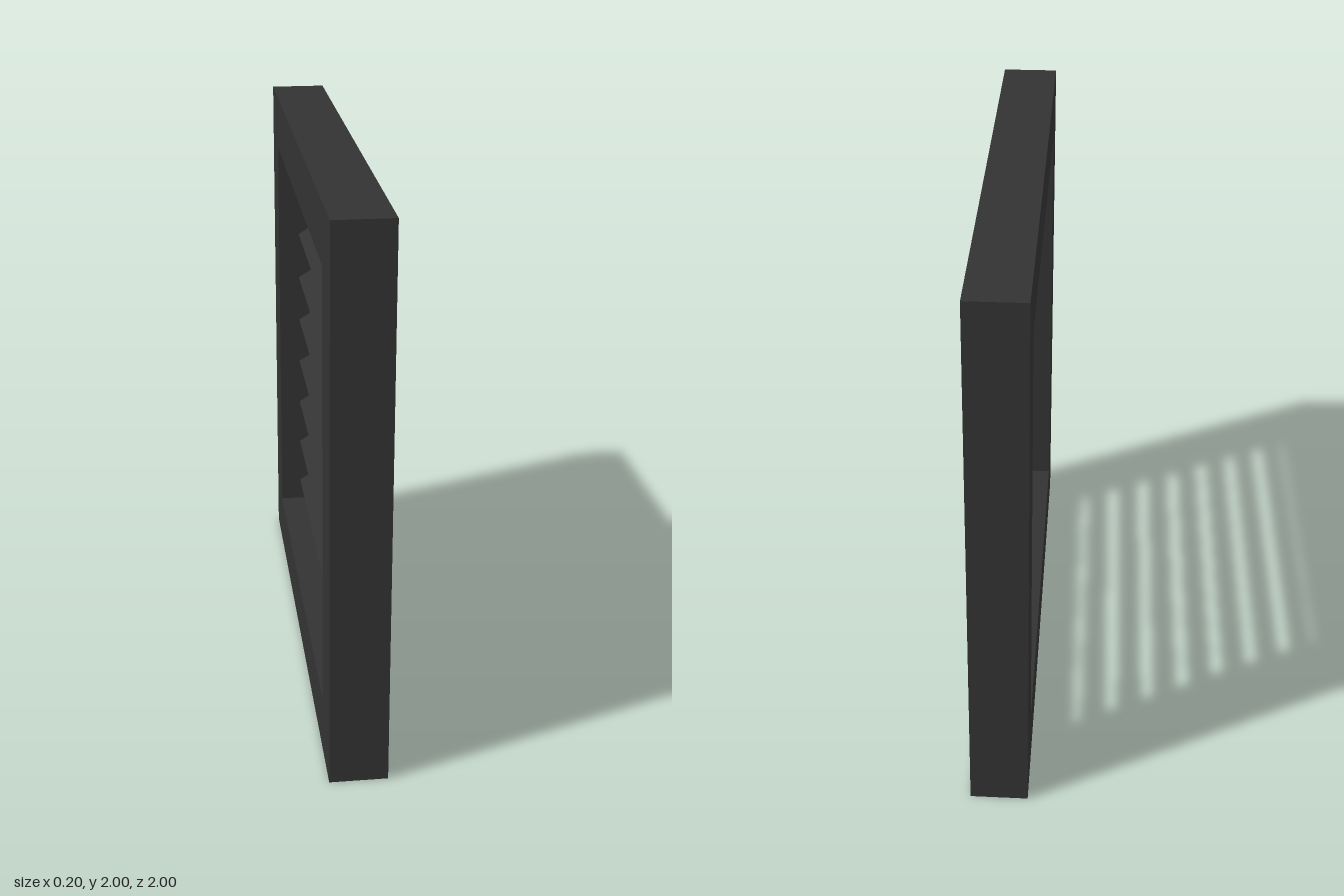
import * as THREE from 'three';

const OUTER = 2, BORDER = 0.205, DEPTH = 0.205;
const SLATS = 9, PITCH = 0.1886, FIRST_Y = 0.313;
const TILT = THREE.MathUtils.degToRad(32);

export function createModel() {
  const group = new THREE.Group();
  group.name = 'louvreVent';
  const material = new THREE.MeshStandardMaterial({ color: 0x333333 });

  // Square frame with a square opening, extruded along x
  const h = OUTER / 2, i = h - BORDER;
  const square = (r) => [[-r, -r], [r, -r], [r, r], [-r, r]].map(([x, y]) => new THREE.Vector2(x, y));
  const shape = new THREE.Shape(square(h));
  shape.holes.push(new THREE.Path(square(i).reverse()));
  const frameGeo = new THREE.ExtrudeGeometry(shape, { depth: DEPTH, bevelEnabled: false });
  frameGeo.translate(0, 0, -DEPTH / 2).rotateY(Math.PI / 2).translate(0, h, 0);
  const frame = new THREE.Mesh(frameGeo, material);
  frame.name = 'frame';
  group.add(frame);

  // Tilted slats, high edge flush with the +x face; the top one is partly sunk in the frame
  const slats = new THREE.Group();
  slats.name = 'slats';
  const slatGeo = new THREE.BoxGeometry(0.123, 0.033, 2 * i);
  for (let n = 0; n < SLATS; n++) {
    const slat = new THREE.Mesh(slatGeo, material);
    slat.name = `slat${n + 1}`;
    slat.position.set(0.04, FIRST_Y + n * PITCH, 0);
    slat.rotation.z = TILT;
    slats.add(slat);
  }
  group.add(slats);
  return group;
}
